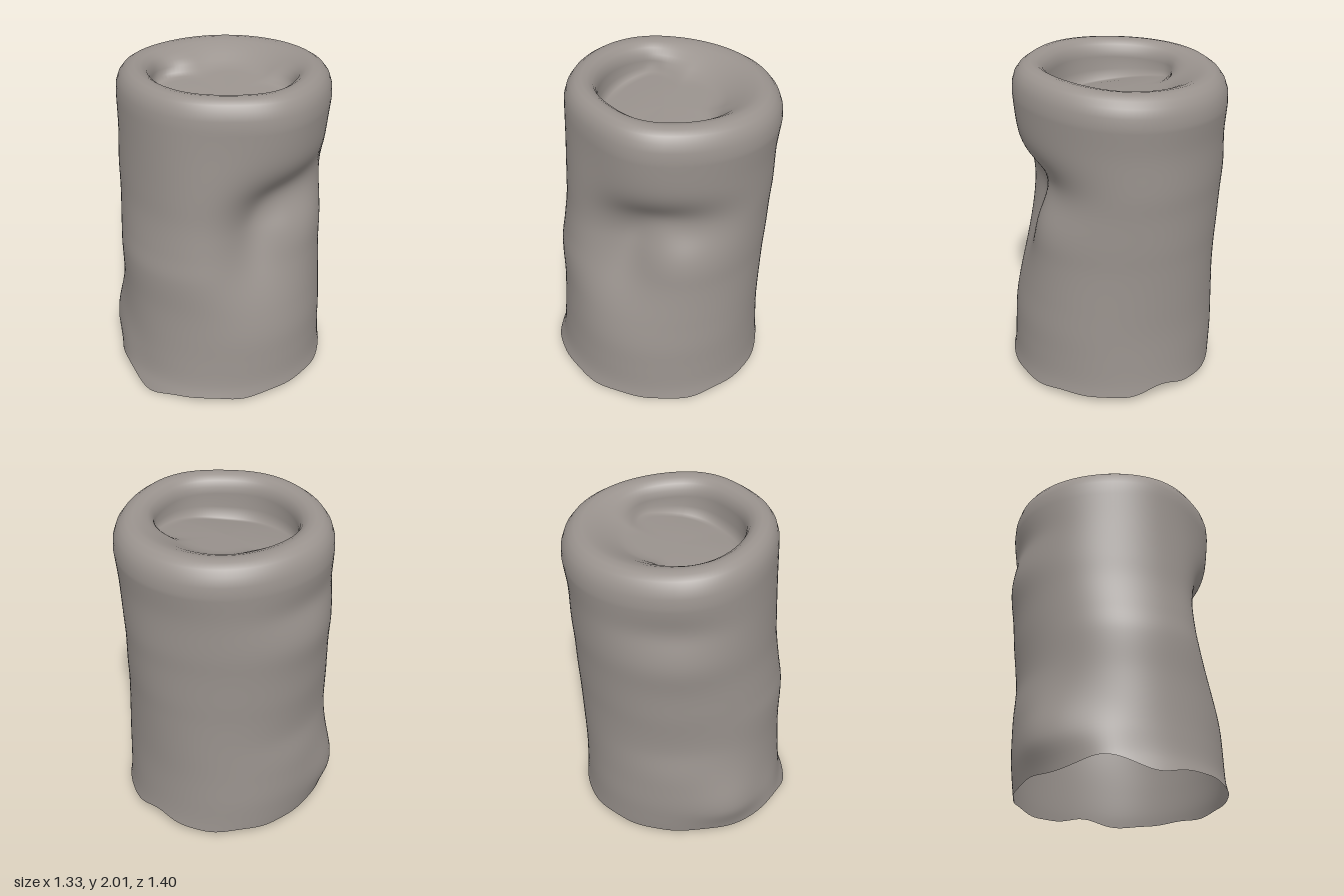
import * as THREE from 'three';

const SEGMENTS = 120;
const WALL_ROWS = 64;
const WALL_TOP = 1.8;
const DEG = Math.PI / 180;

// wall outline by height: y, +x, -x, +z, -z extents
const outline = [
  [0.00, 0.668, 0.595, 0.705, 0.637],
  [0.10, 0.650, 0.610, 0.672, 0.625],
  [0.25, 0.643, 0.625, 0.655, 0.618],
  [0.42, 0.638, 0.626, 0.645, 0.615],
  [0.60, 0.622, 0.625, 0.640, 0.620],
  [0.85, 0.602, 0.628, 0.645, 0.630],
  [1.00, 0.602, 0.635, 0.625, 0.640],
  [1.20, 0.605, 0.644, 0.600, 0.650],
  [1.35, 0.606, 0.650, 0.592, 0.662],
  [1.60, 0.610, 0.655, 0.582, 0.670],
  [1.80, 0.625, 0.662, 0.577, 0.692],
];

// rolled rim and sunken lid: radius scale and height, for the steep and the sloping side
const steepLid = [
  [0.995, 1.86], [0.97, 1.91], [0.93, 1.945], [0.88, 1.967], [0.82, 1.975], [0.76, 1.968], [0.705, 1.945],
  [0.675, 1.91], [0.665, 1.87], [0.67, 1.82], [0.64, 1.79], [0.56, 1.79], [0.42, 1.797], [0.22, 1.8], [0, 1.8],
];
const slopedLid = [
  [0.995, 1.86], [0.97, 1.91], [0.93, 1.945], [0.88, 1.967], [0.82, 1.973], [0.75, 1.960], [0.67, 1.935],
  [0.60, 1.908], [0.53, 1.881], [0.46, 1.828], [0.38, 1.8], [0.31, 1.8], [0.23, 1.8], [0.12, 1.8], [0, 1.8],
];
const FLOOR_ROW = 10;

const smooth = THREE.MathUtils.smoothstep;
const lerp = THREE.MathUtils.lerp;
const bell = (d, width) => Math.exp(-((d / width) ** 2));

// signed difference between two angles, in degrees
function turn(a, b) {
  return ((a - b + 540) % 360 + 360) % 360 - 180;
}

// smoothly interpolated outline extents at a height
function extents(y) {
  const last = outline.length - 1;
  let i = 0;
  while (i < last - 1 && y > outline[i + 1][0]) i++;
  const at = (n) => outline[THREE.MathUtils.clamp(n, 0, last)];
  const [o, p, q, r] = [at(i - 1), at(i), at(i + 1), at(i + 2)];
  const span = q[0] - p[0];
  const t = (y - p[0]) / span;
  return [1, 2, 3, 4].map((k) => {
    const m0 = span * (q[k] - o[k]) / (q[0] - o[0]);
    const m1 = span * (r[k] - p[k]) / (r[0] - p[0]);
    return (2 * t ** 3 - 3 * t ** 2 + 1) * p[k] + (t ** 3 - 2 * t ** 2 + t) * m0
      + (3 * t ** 2 - 2 * t ** 3) * q[k] + (t ** 3 - t ** 2) * m1;
  });
}

// dents and bumps of the wall: depth, angle, angular width, height, reach above, reach below
const dents = [
  [-0.150, 27, 25, 1.13, 0.27, 0.40],
  [-0.120, -2, 31, 1.31, 0.17, 0.19],
  [-0.025, 48, 25, 1.80, 0.30, 0.40],
  [0.055, 149, 20, 0.22, 0.24, 0.14],
  [0.030, 120, 16, 0.08, 0.22, 0.20],
  [0.020, 180, 30, 1.35, 0.13, 0.15],
  [-0.020, 180, 28, 1.60, 0.12, 0.10],
  [-0.020, 180, 30, 0.70, 0.20, 0.14],
];
function dent(deg, y) {
  let d = 0.002 * Math.sin(5 * deg * DEG - 4 * y + 1);
  for (const [depth, angle, width, height, above, below] of dents) {
    d += depth * bell(turn(deg, angle), width) * bell(y - height, y > height ? above : below);
  }
  return d;
}

// ragged lower edge
function hem(deg) {
  const a = deg * DEG;
  return 0.032 + 0.005 * Math.sin(7 * a) + 0.004 * Math.sin(13 * a + 2)
    - 0.034 * bell(turn(deg, 92), 14) + 0.045 * bell(turn(deg, 121), 12)
    + 0.035 * bell(turn(deg, 272), 14);
}

function surfacePoint(row, deg) {
  const a = deg * DEG;
  const c = Math.cos(a), s = Math.sin(a);
  let y, scale = 1;
  if (row <= WALL_ROWS) {
    y = lerp(hem(deg), WALL_TOP, row / WALL_ROWS);
  } else {
    const i = row - WALL_ROWS - 1;
    const slope = 1 - smooth(Math.abs(turn(deg, -112)), 42, 86);
    scale = lerp(steepLid[i][0], slopedLid[i][0], slope);
    // the lid floor tilts down towards the front
    const tilt = THREE.MathUtils.clamp((i - FLOOR_ROW + 2) / 2, 0, 1);
    y = lerp(steepLid[i][1], slopedLid[i][1], slope) - 0.12 * tilt * scale * Math.cos((deg - 68) * DEG);
  }
  const wallY = row <= WALL_ROWS ? y : WALL_TOP;
  const [xp, xn, zp, zn] = extents(wallY);
  const push = dent(deg, wallY);
  const x = scale * c * ((c > 0 ? xp : xn) + push);
  const z = scale * s * ((s > 0 ? zp : zn) + push);
  // the top leans slightly
  const lean = smooth(y, 1.4, 1.85) * (0.034 * x + 0.047 * z);
  return [x, y + lean, z];
}

function createBodyGeometry() {
  const rows = WALL_ROWS + 1 + steepLid.length;
  const positions = [], index = [];
  for (let r = 0; r < rows; r++) {
    for (let j = 0; j < SEGMENTS; j++) {
      positions.push(...surfacePoint(r, (j / SEGMENTS) * 360));
      if (r === rows - 1) continue;
      const k = (j + 1) % SEGMENTS;
      const a = r * SEGMENTS + j, b = r * SEGMENTS + k;
      const c = a + SEGMENTS, d = b + SEGMENTS;
      index.push(a, c, b);
      if (r < rows - 2) index.push(b, c, d);
    }
  }
  const geometry = new THREE.BufferGeometry();
  geometry.setAttribute('position', new THREE.Float32BufferAttribute(positions, 3));
  geometry.setIndex(index);
  geometry.computeVertexNormals();
  return geometry;
}

export function createModel() {
  const group = new THREE.Group();
  group.name = 'dentedCan';
  const warmGrey = new THREE.MeshStandardMaterial({ color: 0x9a938e, side: THREE.DoubleSide });
  warmGrey.name = 'warm grey';

  // open-bottomed shell with crushed side, rolled rim and sunken lid
  const body = new THREE.Mesh(createBodyGeometry(), warmGrey);
  body.name = 'canBody';
  group.add(body);
  return group;
}
